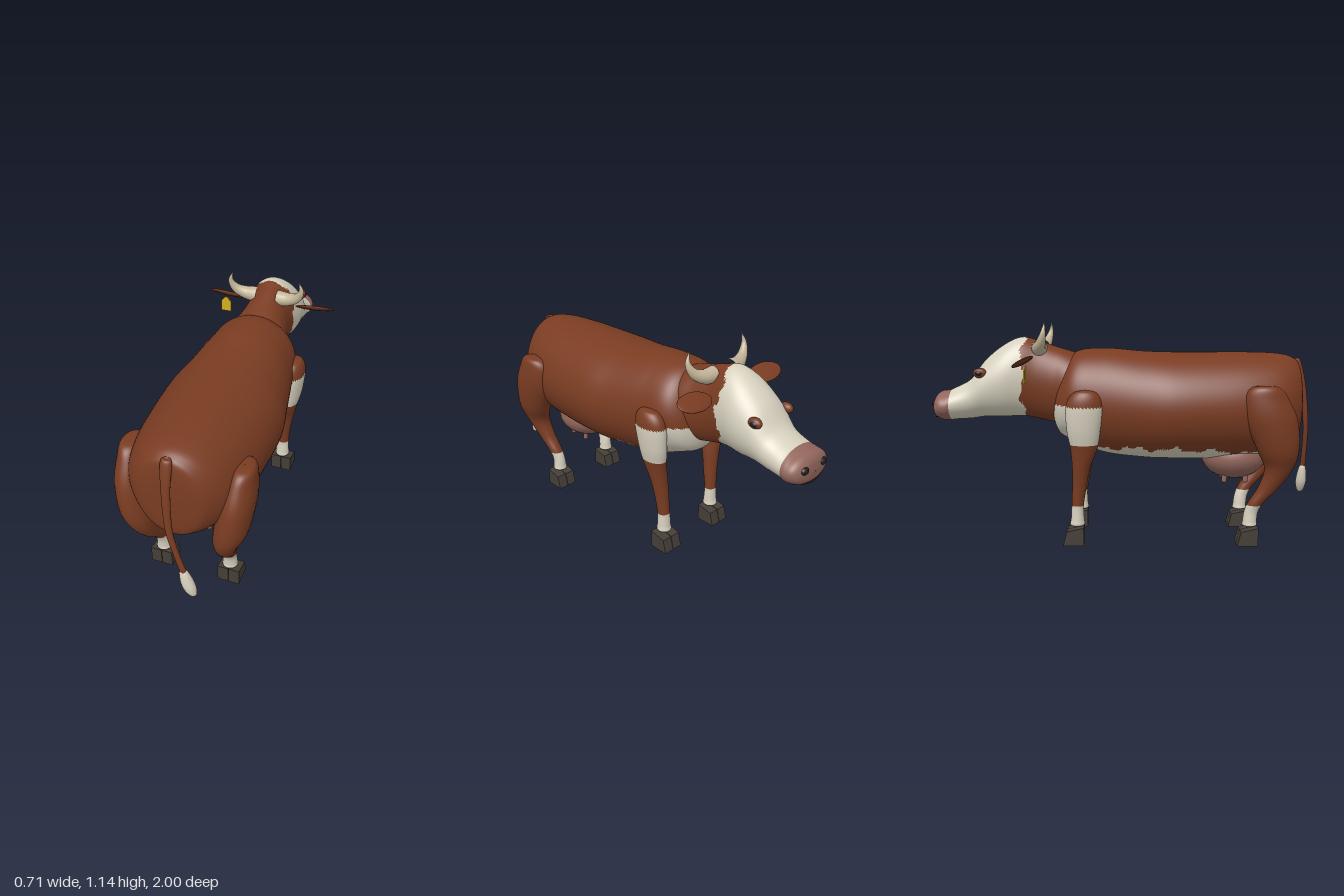
import * as THREE from 'three';

const mat = (name, color) => {
  const m = new THREE.MeshStandardMaterial({ color });
  m.name = name;
  return m;
};

export function createModel() {
  const cow = new THREE.Group();
  cow.name = 'cow';
  const brown = mat('brownCoat', 0x7a3c22);
  const cream = mat('creamCoat', 0xd6d0be);
  const pink = mat('pinkSkin', 0x92665c);
  const hoofMat = mat('hoofGrey', 0x453e38);
  const hornMat = mat('horn', 0xc2b498);
  const yellow = mat('tagYellow', 0xd2ae1c);
  const dark = mat('darkDetail', 0x241c1a);

  const add = (name, geometry, material, parent = cow) => {
    const mesh = new THREE.Mesh(geometry, material);
    mesh.name = name;
    parent.add(mesh);
    return mesh;
  };

  // Smooth loft of elliptical rings. Rows are [position, centre1, centre2, radius1, radius2]:
  // axis 'z' (rising) has rings in x, y; axis 'y' (falling) has rings in x, z.
  // pick(x, y, z) gives the colour slot of each face.
  const loft = (rows, axis, around, steps, pick = () => 0) => {
    const curve = (f) => new THREE.CatmullRomCurve3(
      rows.map((r) => new THREE.Vector3(...f(r))), false, 'catmullrom', 0.5);
    const centre = curve((r) => r.slice(0, 3));
    const radius = curve((r) => [r[3], r[4], 0]);
    const pos = [];
    for (let i = 0; i <= steps; i++) {
      const c = centre.getPoint(i / steps), r = radius.getPoint(i / steps);
      for (let j = 0; j < around; j++) {
        const a = (j / around) * Math.PI * 2;
        const u = c.y + Math.max(r.x, 0.0005) * Math.cos(a);
        const v = c.z + Math.max(r.y, 0.0005) * Math.sin(a);
        if (axis === 'z') pos.push(u, v, c.x);
        else pos.push(u, c.x, v);
      }
    }
    const slots = [[], [], []];
    const face = (...ids) => {
      const mid = [0, 1, 2].map((k) => ids.reduce((s, id) => s + pos[id * 3 + k], 0) / 3);
      slots[pick(...mid)].push(...ids);
    };
    for (let i = 0; i < steps; i++) {
      for (let j = 0; j < around; j++) {
        const a = i * around + j, b = i * around + ((j + 1) % around);
        face(a, b, a + around);
        face(b, b + around, a + around);
      }
    }
    const g = new THREE.BufferGeometry();
    g.setAttribute('position', new THREE.Float32BufferAttribute(pos, 3));
    g.setIndex(slots.flat());
    let start = 0;
    slots.forEach((s, k) => {
      if (s.length) g.addGroup(start, s.length, k);
      start += s.length;
    });
    g.computeVertexNormals();
    return g;
  };
  const ellipsoid = (rx, ry, rz) => new THREE.SphereGeometry(1, 28, 20).scale(rx, ry, rz);
  const ragged = (t) => 0.012 * Math.sin(t * 31) + 0.008 * Math.sin(t * 73 + 1);

  // Barrel with pale belly and chest
  add('body', loft([
    [-0.375, 0, 0.68, 0.001, 0.001], [-0.365, 0, 0.69, 0.08, 0.07], [-0.33, 0, 0.715, 0.17, 0.165],
    [-0.25, 0, 0.745, 0.225, 0.235], [-0.1, 0, 0.725, 0.25, 0.275], [0.1, 0, 0.705, 0.285, 0.28],
    [0.25, 0, 0.7, 0.31, 0.28], [0.45, 0, 0.7, 0.305, 0.28], [0.65, 0, 0.705, 0.285, 0.275],
    [0.8, 0, 0.715, 0.245, 0.258], [0.88, 0, 0.72, 0.19, 0.232], [0.915, 0, 0.72, 0.13, 0.18],
    [0.925, 0, 0.72, 0.001, 0.001],
  ], 'z', 80, 156, (x, y, z) => {
    if (z < -0.14) return y < 0.715 ? 1 : 0;
    return z < 0.74 && y < 0.495 + ragged(z) - 0.03 * Math.max(0, z - 0.35) / 0.3 ? 1 : 0;
  }), [brown, cream]);

  // Neck, face and muzzle
  add('headAndNeck', loft([
    [-0.993, 0, 0.695, 0.001, 0.001], [-0.985, 0, 0.695, 0.09, 0.05], [-0.96, 0, 0.7, 0.128, 0.073],
    [-0.92, 0, 0.7, 0.138, 0.08], [-0.88, 0, 0.71, 0.13, 0.085], [-0.8, 0, 0.735, 0.128, 0.105],
    [-0.72, 0, 0.79, 0.14, 0.15], [-0.62, 0, 0.83, 0.147, 0.19], [-0.53, 0, 0.85, 0.133, 0.207],
    [-0.45, 0, 0.835, 0.125, 0.205], [-0.36, 0, 0.81, 0.14, 0.2], [-0.26, 0, 0.79, 0.165, 0.19],
    [-0.1, 0, 0.78, 0.14, 0.15],
  ], 'z', 60, 120, (x, y, z) => {
    if (z < -0.9) return 2;
    return z < -0.52 + ragged(y) ? 1 : 0;
  }), [brown, cream, pink]);

  const mouthPath = new THREE.CatmullRomCurve3([
    [-0.1, 0.655, -0.95], [-0.06, 0.648, -0.977], [0, 0.643, -0.984],
    [0.06, 0.648, -0.977], [0.1, 0.655, -0.95],
  ].map((p) => new THREE.Vector3(...p)));
  add('mouth', new THREE.TubeGeometry(mouthPath, 24, 0.006, 6), dark);

  // Tapered horn along a curve
  const horn = (s) => {
    const path = new THREE.CatmullRomCurve3([
      [0.06, 1.0, -0.435], [0.12, 1.005, -0.43], [0.17, 1.03, -0.415],
      [0.196, 1.08, -0.4], [0.182, 1.135, -0.393],
    ].map(([x, y, z]) => new THREE.Vector3(x * s, y, z)));
    const steps = 24, sides = 16;
    const g = new THREE.TubeGeometry(path, steps, 0.041, sides);
    const p = g.attributes.position, v = new THREE.Vector3();
    for (let i = 0; i < p.count; i++) {
      const t = Math.floor(i / (sides + 1)) / steps;
      const c = path.getPointAt(t);
      v.fromBufferAttribute(p, i).sub(c).multiplyScalar(1.02 - Math.pow(t, 1.3)).add(c);
      p.setXYZ(i, v.x, v.y, v.z);
    }
    g.computeVertexNormals();
    return g;
  };

  // One claw of a cloven hoof
  const claw = new THREE.ExtrudeGeometry(new THREE.Shape([
    [0.038, 0], [0.038, 0.093], [-0.05, 0.073], [-0.068, 0],
  ].reverse().map((p) => new THREE.Vector2(...p))), { depth: 0.055, bevelEnabled: false });
  claw.rotateY(-Math.PI / 2).translate(0.0275, 0, 0);

  const hindRows = [
    [0.825, 0.27, 0.7, 0.001, 0.001], [0.815, 0.27, 0.7, 0.045, 0.07], [0.76, 0.262, 0.705, 0.066, 0.11],
    [0.65, 0.255, 0.735, 0.08, 0.13], [0.5, 0.235, 0.775, 0.08, 0.105], [0.4, 0.212, 0.785, 0.06, 0.072],
    [0.3, 0.195, 0.74, 0.045, 0.053], [0.22, 0.186, 0.68, 0.037, 0.04], [0.17, 0.18, 0.657, 0.033, 0.036],
    [0.12, 0.179, 0.65, 0.036, 0.036], [0.098, 0.179, 0.65, 0.036, 0.036], [0.09, 0.179, 0.65, 0.001, 0.001],
  ];
  const foreRows = [
    [0.8, 0.235, -0.19, 0.001, 0.001], [0.785, 0.235, -0.19, 0.04, 0.06], [0.72, 0.235, -0.195, 0.057, 0.092],
    [0.6, 0.225, -0.2, 0.057, 0.085], [0.5, 0.21, -0.2, 0.05, 0.068], [0.4, 0.195, -0.215, 0.044, 0.046],
    [0.3, 0.185, -0.225, 0.037, 0.037], [0.2, 0.18, -0.235, 0.033, 0.031], [0.13, 0.179, -0.236, 0.036, 0.034],
    [0.098, 0.179, -0.237, 0.036, 0.036], [0.09, 0.179, -0.237, 0.001, 0.001],
  ];

  // Paired parts
  for (const [side, s] of [['right', 1], ['left', -1]]) {
    const mirror = (rows) => rows.map(([p, x, ...rest]) => [p, x * s, ...rest]);
    add(side + 'HindLeg', loft(mirror(hindRows), 'y', 32, 88, (x, y) => (y < 0.205 ? 1 : 0)), [brown, cream]);
    add(side + 'ForeLeg', loft(mirror(foreRows), 'y', 32, 90,
      (x, y) => (y < 0.2 || (y > 0.525 && y < 0.715) ? 1 : 0)), [brown, cream]);
    for (const z of [0.65, -0.24]) {
      for (const dx of [-0.029, 0.029]) {
        add(side + 'Hoof', claw, hoofMat).position.set(s * 0.181 + dx, 0, z);
      }
    }

    add(side + 'Horn', horn(s), hornMat);
    const ear = add(side + 'Ear', ellipsoid(0.107, 0.012, 0.057), brown);
    ear.position.set(s * 0.25, 0.94, -0.497);
    ear.rotation.set(-0.5, 0, s * 0.06);

    add(side + 'Eyelid', ellipsoid(0.024, 0.026, 0.036), brown).position.set(s * 0.113, 0.875, -0.735);
    add(side + 'Eye', ellipsoid(0.016, 0.016, 0.022), dark).position.set(s * 0.125, 0.875, -0.738);
    add(side + 'Nostril', ellipsoid(0.025, 0.02, 0.022), dark).position.set(s * 0.066, 0.715, -0.977);

    for (const z of [0.53, 0.64]) {
      add(side + 'Teat', new THREE.CapsuleGeometry(0.014, 0.05, 6, 14), pink).position.set(s * 0.068, 0.334, z);
    }
  }
  add('udder', ellipsoid(0.16, 0.118, 0.17), pink).position.set(0, 0.43, 0.585);

  // Tail and tuft
  add('tail', loft([
    [0.945, 0, 0.9, 0.001, 0.001], [0.935, 0, 0.908, 0.026, 0.018], [0.8, 0.005, 0.945, 0.021, 0.015],
    [0.6, 0.017, 0.968, 0.017, 0.014], [0.47, 0.045, 0.973, 0.015, 0.013], [0.36, 0.075, 0.974, 0.016, 0.014],
  ], 'y', 16, 50), brown);
  add('tailTuft', loft([
    [0.385, 0.07, 0.974, 0.004, 0.004], [0.34, 0.08, 0.973, 0.024, 0.02], [0.27, 0.097, 0.972, 0.033, 0.028],
    [0.22, 0.113, 0.972, 0.022, 0.018], [0.202, 0.12, 0.972, 0.001, 0.001],
  ], 'y', 20, 32), cream);

  // Ear tag
  const tag = new THREE.ExtrudeGeometry(new THREE.Shape([
    [-0.028, -0.043], [0.028, -0.043], [0.028, 0.018], [0.006, 0.043], [-0.006, 0.043], [-0.028, 0.018],
  ].map((p) => new THREE.Vector2(...p))), { depth: 0.008, bevelEnabled: false });
  add('earTag', tag, yellow).position.set(-0.257, 0.878, -0.49);

  return cow;
}
